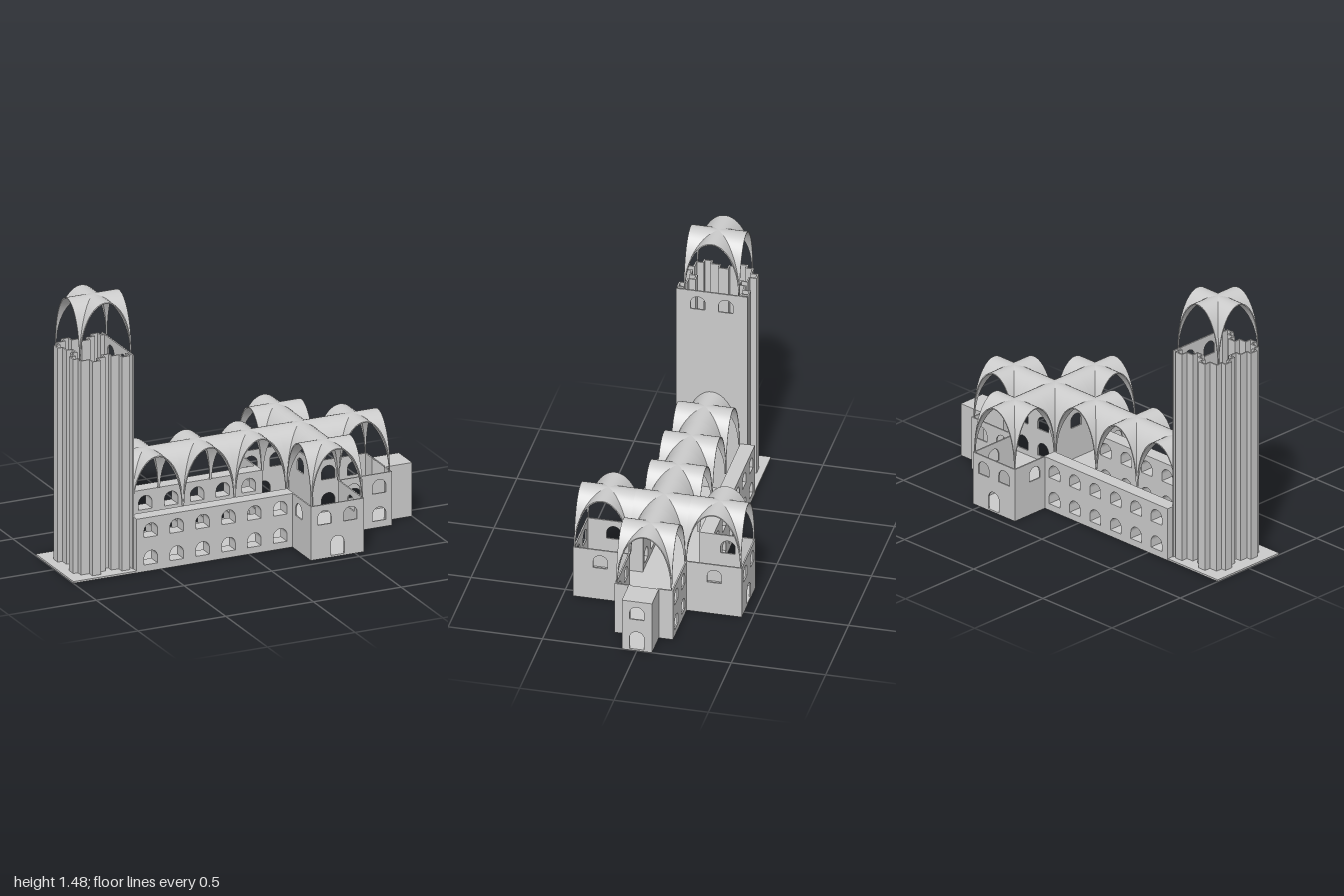
import * as THREE from 'three';

const H = 0.295;      // wall height, vault rise and bay spacing
const R = H / 2;      // half a bay
const T = 0.008;      // thin wall thickness
const FLOOR = 0.01;
const mat = new THREE.MeshStandardMaterial({ color: 0xcccccc, side: THREE.DoubleSide });

function add(parent, name, geo, x = 0, y = 0, z = 0) {
  const m = new THREE.Mesh(geo, mat);
  m.name = name;
  m.position.set(x, y, z);
  parent.add(m);
  return m;
}

function box(parent, name, x0, x1, y0, y1, z0, z1) {
  return add(parent, name, new THREE.BoxGeometry(x1 - x0, y1 - y0, z1 - z0),
    (x0 + x1) / 2, (y0 + y1) / 2, (z0 + z1) / 2);
}

// Round-headed opening centred on u, standing on y
function arch(u, y, h = 0.075, w = 0.077) {
  const r = w / 2, p = new THREE.Path();
  p.moveTo(u - r, y);
  p.lineTo(u + r, y);
  p.lineTo(u + r, y + h - r);
  p.absarc(u, y + h - r, r, 0, Math.PI, false);
  p.lineTo(u - r, y);
  return p;
}

// Upright panel from u0 to u1 with arched openings, extruded by depth
function panel(u0, u1, y1, depth, holes) {
  const s = new THREE.Shape();
  s.moveTo(u0, 0); s.lineTo(u1, 0); s.lineTo(u1, y1); s.lineTo(u0, y1); s.closePath();
  s.holes = holes;
  return new THREE.ExtrudeGeometry(s, { depth, bevelEnabled: false, curveSegments: 10 });
}

// Wall along x, occupying z0 .. z0 + depth
function wallX(parent, name, x0, x1, z0, depth, holes, y1 = H) {
  return add(parent, name, panel(x0, x1, y1, depth, holes), 0, 0, z0);
}

// Wall along z, occupying x0 .. x0 + depth (panel u runs along -z)
function wallZ(parent, name, z0, z1, x0, depth, holes, y1 = H) {
  const m = add(parent, name, panel(-z1, -z0, y1, depth, holes), x0, 0, 0);
  m.rotation.y = Math.PI / 2;
  return m;
}

// One web of a groin vault: ruled surfaces running from the diagonal to the open arch
function webGeometry() {
  const N = 28, t = 0.006, pos = [], idx = [];
  const outer = (u) => [R * Math.sin(u), H * Math.cos(u)];
  const inner = (u) => [(R - t) * Math.sin(u), (H - t) * Math.cos(u)];
  const strip = (a, b) => {
    const base = pos.length / 3;
    for (let i = 0; i <= N; i++) {
      const u = (i / N - 0.5) * Math.PI;
      pos.push(...a(u), ...b(u));
      if (i < N) {
        const k = base + i * 2;
        idx.push(k, k + 1, k + 2, k + 1, k + 3, k + 2);
      }
    }
  };
  const groin = (f) => (u) => [...f(u), Math.abs(f(u)[0])];
  const edge = (f) => (u) => [...f(u), R];
  strip(groin(outer), edge(outer));   // upper face
  strip(edge(outer), edge(inner));    // arch rim
  strip(edge(inner), groin(inner));   // lower face
  const g = new THREE.BufferGeometry();
  g.setAttribute('position', new THREE.Float32BufferAttribute(pos, 3));
  g.setIndex(idx);
  g.computeVertexNormals();
  return g;
}

export function createModel() {
  const model = new THREE.Group();
  model.name = 'church';

  // Floor slabs
  const floor = new THREE.Group();
  floor.name = 'floor';
  model.add(floor);
  box(floor, 'naveFloor', -1, 0.25, 0, FLOOR, -0.225, 0.225);
  box(floor, 'transeptFloor', 0.25, 0.55, 0, FLOOR, -0.447, 0.447);
  box(floor, 'choirFloor', 0.55, 0.85, 0, FLOOR, -0.155, 0.155);
  box(floor, 'apseFloor', 0.85, 1, 0, FLOOR, -0.08, 0.08);

  // Window rows: low and high
  const pair = (x) => [arch(x, 0.037), arch(x, 0.187)];
  const door = (x) => arch(x, FLOOR, 0.104);

  for (const s of [-1, 1]) {
    const side = s > 0 ? 'left' : 'right';
    const at = (z, d) => (s > 0 ? z : -z - d);
    const span = (a, b) => (s > 0 ? [a, b] : [-b, -a]);

    // Thick nave walls with two rows of six windows
    const nave = [];
    for (let i = 0; i < 6; i++) nave.push(...pair(-0.559 + i * R));
    wallX(model, side + 'NaveWall', -0.64, 0.25, at(0.15, 0.077), 0.077, nave);

    // Transept arm
    wallX(model, side + 'TranseptEnd', 0.248, 0.552, at(0.439, T), T,
      [arch(0.326, 0.187), arch(0.474, 0.187), door(0.4)]);
    for (const x of [0.248, 0.552 - T])
      wallZ(model, side + 'TranseptSide', ...span(0.148, 0.439), x, T, [arch(-s * 0.302, 0.187)]);

    // Choir side and the return beside the apse
    wallX(model, side + 'ChoirWall', 0.552, 0.85, at(0.147, T), T, [...pair(0.63), ...pair(0.777)]);
    wallZ(model, side + 'ChoirReturn', ...span(0.072, 0.147), 0.842, T, []);

    // Apse side
    wallX(model, side + 'ApseWall', 0.85, 1 - T, at(0.072, T), T, []);
  }
  wallZ(model, 'apseEnd', -0.08, 0.08, 1 - T, T, [door(0), arch(0, 0.187)]);
  box(model, 'apseRoof', 0.85, 1 - T, H - T, H, -0.072, 0.072);

  // Tower: flat wall toward the nave, folded walls on the other three sides
  const top = 1.185, tower = new THREE.Group();
  tower.name = 'tower';
  model.add(tower);
  wallZ(tower, 'towerNaveWall', -0.19, 0.19, -0.645, T,
    [arch(-0.074, 1.075), arch(0.074, 1.075)], top);
  const fold = [[-0.645, 0.151], [-0.664, 0.151], [-0.664, 0.187], [-0.704, 0.187], [-0.704, 0.151],
    [-0.747, 0.151], [-0.747, 0.116], [-0.788, 0.116], [-0.788, 0.151], [-0.831, 0.151],
    [-0.831, 0.187], [-0.871, 0.187], [-0.871, 0.151], [-0.919, 0.151], [-0.919, 0.114],
    [-0.946, 0.114], [-0.946, 0.072], [-0.919, 0.072], [-0.919, 0.024], [-0.888, 0.024], [-0.888, 0]];
  const h = T / 2;
  for (const s of [-1, 1]) {
    for (let i = 1; i < fold.length; i++) {
      const [xa, za] = fold[i - 1], [xb, zb] = fold[i];
      const z0 = Math.min(s * za, s * zb), z1 = Math.max(s * za, s * zb);
      box(tower, 'towerFold', Math.min(xa, xb) - h, Math.max(xa, xb) + h, 0, top, z0 - h, z1 + h);
    }
  }

  // Groin vaults: nave, crossing, choir, transept arms and tower top
  const web = webGeometry();
  const vault = (name, x, y, z) => {
    const g = new THREE.Group();
    g.name = name;
    g.position.set(x, y, z);
    for (let k = 0; k < 4; k++) add(g, 'vaultWeb', web).rotation.y = k * Math.PI / 2;
    model.add(g);
  };
  const names = ['naveVault', 'naveVault', 'naveVault', 'crossingVault', 'choirVault'];
  names.forEach((n, i) => vault(n, -0.485 + i * H, H, 0));
  for (const s of [-1, 1]) vault('transeptVault', 0.4, H, s * H);
  vault('towerVault', -0.78, top, 0);

  return model;
}
